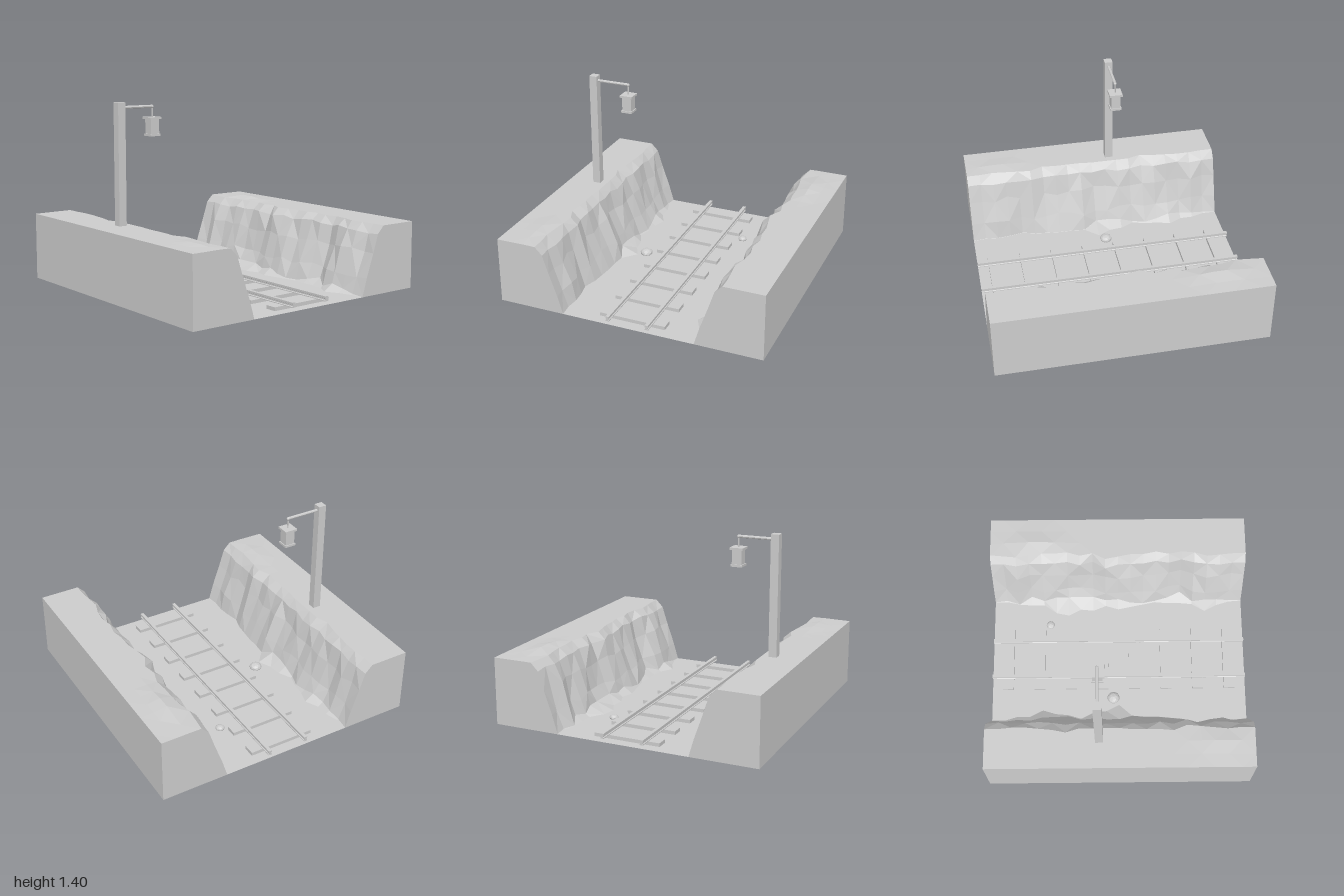
import * as THREE from 'three';

const GROUND = 0.025, TOP = 0.522;

// Plan outlines every 0.1 from back to front, as distances from the centre line
const LEFT = {
  lip: [.70, .70, .69, .69, .70, .71, .73, .70, .70, .70, .70, .71, .71, .71, .72, .68, .69, .70, .71, .70, .70],
  foot: [.50, .51, .50, .51, .49, .48, .47, .50, .50, .51, .51, .47, .48, .48, .49, .50, .53, .51, .50, .51, .50],
  toe: [.50, .50, .47, .47, .42, .45, .46, .49, .44, .43, .38, .47, .48, .48, .49, .50, .53, .51, .50, .51, .50],
  rise: 0.012, riseZ: 0.75, side: -1,
};
const RIGHT = {
  lip: [.70, .69, .68, .70, .71, .71, .72, .69, .71, .66, .68, .70, .70, .72, .70, .72, .71, .68, .69, .70, .70],
  foot: [.50, .51, .48, .53, .50, .52, .52, .52, .52, .50, .50, .48, .48, .50, .52, .56, .49, .49, .50, .50, .50],
  toe: [.50, .50, .48, .47, .47, .40, .38, .43, .42, .46, .43, .45, .47, .49, .48, .48, .47, .41, .46, .49, .50],
  rise: 0.024, riseZ: -0.65, side: 1,
};

function makeRandom(seed) {
  return () => {
    seed = (seed * 16807) % 2147483647;
    return seed / 2147483647 - 0.5;
  };
}

// Skin a surface over a list of cross-sections
function loft(rows, flip) {
  const n = rows[0].length, index = [];
  for (let i = 0; i < rows.length - 1; i++) {
    for (let j = 0; j < n - 1; j++) {
      const a = i * n + j, b = a + 1, c = a + n, d = c + 1;
      const tris = (i + j) % 2 ? [[a, c, b], [b, c, d]] : [[a, c, d], [a, d, b]];
      for (const [p, q, r] of tris) index.push(...(flip ? [p, r, q] : [p, q, r]));
    }
  }
  const geo = new THREE.BufferGeometry();
  geo.setAttribute('position', new THREE.Float32BufferAttribute(rows.flat(2), 3));
  geo.setIndex(index);
  const flat = geo.toNonIndexed();
  flat.computeVertexNormals();
  return flat;
}

// Cross-sections of one bank: outer wall, turf, cliff, fallen scree
function bankSections(bank, random) {
  const { side } = bank;
  return bank.lip.map((lip, i) => {
    const z = -1 + i * 0.1, end = i === 0 || i === 20;
    const foot = bank.foot[i], toe = Math.min(bank.toe[i], foot - 0.002);
    const jitter = (size) => (end ? 0 : random() * size);
    const turf = (x) => TOP + bank.rise * Math.exp(-(((x - 0.8) / 0.09) ** 2) - ((z - bank.riseZ) / 0.18) ** 2);
    const scree = GROUND + Math.min(0.05, (foot - toe) * 0.7);
    const cliff = (t, y, size) => [lip + (foot - lip) * t + jitter(size), y + jitter(size)];
    return [
      [1, GROUND], [1, TOP], [0.9, turf(0.9)], [0.8, turf(0.8)], [lip, TOP],
      cliff(0.28, 0.465, 0.025), cliff(0.5, 0.33, 0.035), cliff(0.8, 0.16, 0.035),
      [foot, scree], [toe, GROUND],
    ].map(([x, y]) => [side * x, y, z]);
  });
}

export function createModel() {
  const grey = new THREE.MeshStandardMaterial({ color: 0xcccccc, flatShading: true, side: THREE.DoubleSide });
  grey.name = 'plain grey';
  const model = new THREE.Group();
  model.name = 'railwayCutting';

  function add(name, geometry, x = 0, y = 0, z = 0, parent = model) {
    const mesh = new THREE.Mesh(geometry, grey);
    mesh.name = name;
    mesh.position.set(x, y, z);
    parent.add(mesh);
    return mesh;
  }
  const box = (w, h, d) => new THREE.BoxGeometry(w, h, d);

  // Banks, open underneath, with flat cut ends
  const random = makeRandom(4711);
  const toes = [];
  for (const bank of [LEFT, RIGHT]) {
    const name = bank.side < 0 ? 'right' : 'left';
    const rows = bankSections(bank, random);
    add(name + 'Bank', loft(rows, bank.side > 0));
    for (const row of [rows[0], rows[20]]) {
      const shape = new THREE.Shape(row.map(([x, y]) => new THREE.Vector2(x, y)));
      const cap = add(name + 'BankEnd', new THREE.ShapeGeometry(shape), 0, 0, row[0][2]);
      if (row[0][2] < 0) {
        // Turn the back end to face outward
        const order = cap.geometry.index.array;
        cap.geometry.setIndex(Array.from(order).reverse());
        cap.geometry.computeVertexNormals();
      }
    }
    toes.push(rows.map((row) => row[row.length - 1]));
  }

  // Valley floor between the two scree lines
  add('valleyFloor', loft(toes[0].map((p, i) => [p, toes[1][i]]), false));

  // Track: eight sleepers and two headed rails
  const track = new THREE.Group();
  track.name = 'track';
  model.add(track);
  for (let i = 0; i < 8; i++) {
    add('sleeper', box(0.5, 0.027, 0.085), 0, 0.0375, -0.877 + i * 0.25, track);
  }
  const half = [[0.013, 0.05], [0.013, 0.056], [0.007, 0.06], [0.007, 0.069], [0.0125, 0.072], [0.0125, 0.086]];
  const outline = [...half, ...half.map(([x, y]) => [-x, y]).reverse()].map(([x, y]) => new THREE.Vector2(x, y));
  for (const x of [-0.152, 0.148]) {
    const rail = new THREE.ExtrudeGeometry(new THREE.Shape(outline), { depth: 2, bevelEnabled: false });
    add('rail', rail, x, 0, -1, track);
  }

  // Loose stones beside the track
  const stones = [[-0.322, 0.033, -0.045, 0.048, 0.033], [0.295, 0.032, -0.548, 0.034, 0.023]];
  for (const [x, y, z, radius, height] of stones) {
    const stone = add('stone', new THREE.IcosahedronGeometry(1, 1), x, y, z);
    stone.scale.set(radius, height, radius);
    stone.rotation.y = x * 4;
  }

  // Lamp post with an arm and hanging lantern
  const lamp = new THREE.Group();
  lamp.name = 'lampPost';
  lamp.position.set(-0.78, 0, -0.152);
  model.add(lamp);
  add('post', box(0.06, 0.89, 0.06), 0, 0.955, 0, lamp);
  const arm = add('arm', new THREE.CylinderGeometry(0.011, 0.011, 0.26, 8), 0.152, 1.362, 0, lamp);
  arm.rotation.z = Math.PI / 2;
  add('elbow', new THREE.IcosahedronGeometry(0.012, 1), 0.278, 1.36, 0, lamp);
  add('hanger', new THREE.CylinderGeometry(0.006, 0.006, 0.085, 8), 0.278, 1.32, 0, lamp);
  add('lanternCap', box(0.098, 0.016, 0.098), 0.278, 1.278, 0, lamp);
  add('lanternBody', box(0.072, 0.115, 0.072), 0.278, 1.215, 0, lamp);
  add('lanternBase', box(0.086, 0.016, 0.086), 0.278, 1.157, 0, lamp);

  return model;
}
